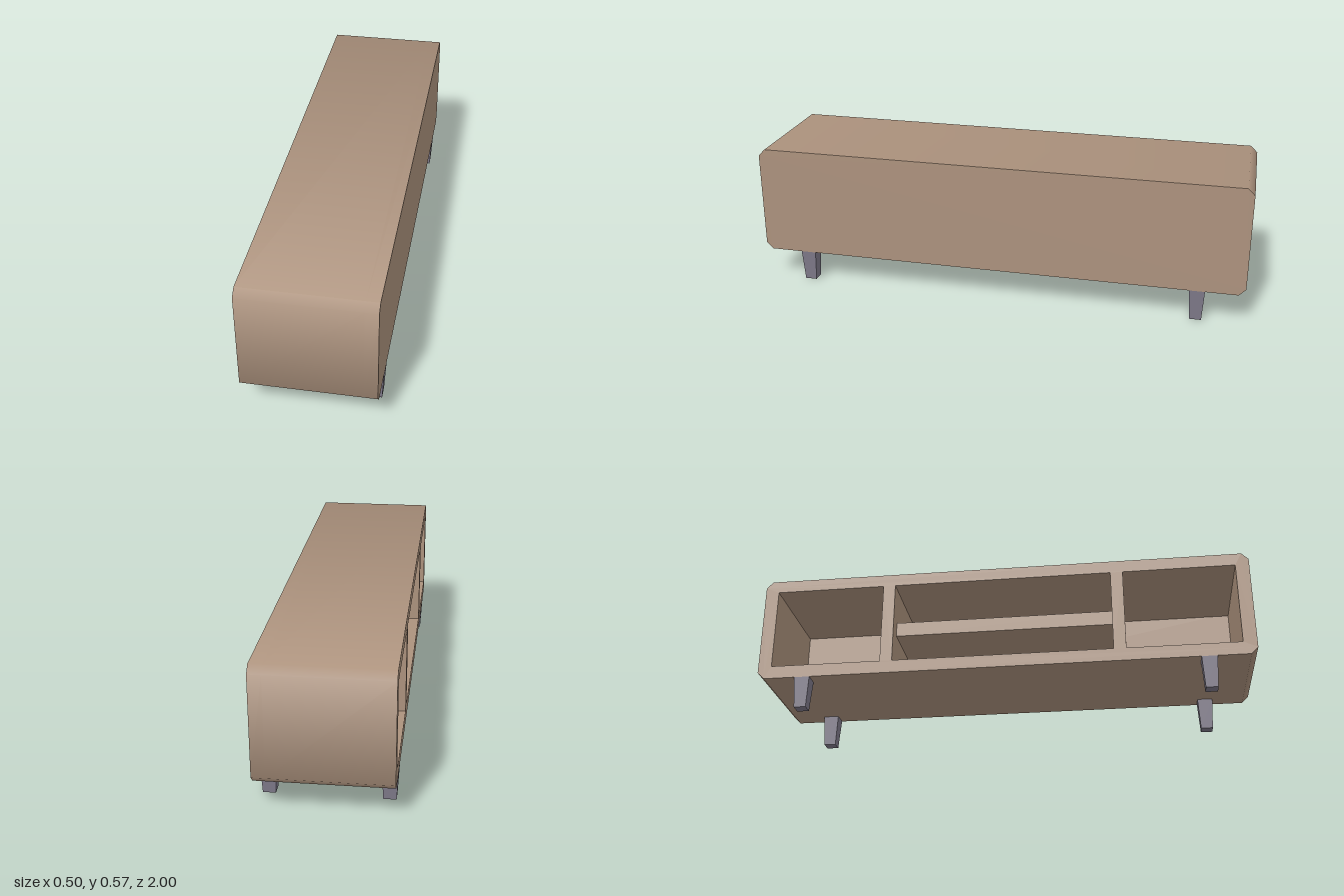
import * as THREE from 'three';

const wood = new THREE.MeshStandardMaterial({ color: 0xac927d });
wood.name = 'warmWood';
const grey = new THREE.MeshStandardMaterial({ color: 0x7e7989 });
grey.name = 'greyLeg';

const BOTTOM = 0.128, TOP = 0.573, BEVEL = 0.027;
const FRONT = -0.25, INNER = 0.2, BACK = 0.25;
const HOLE_LOW = 0.181, HOLE_HIGH = 0.522;

function add(group, name, geometry, material) {
  const mesh = new THREE.Mesh(geometry, material);
  mesh.name = name;
  group.add(mesh);
  return mesh;
}

// Cabinet outline with clipped corners, optionally pierced by compartments
function outline(openings) {
  const b = BEVEL;
  const shape = new THREE.Shape([
    [-1 + b, BOTTOM], [1 - b, BOTTOM], [1, BOTTOM + b], [1, TOP - b],
    [1 - b, TOP], [-1 + b, TOP], [-1, TOP - b], [-1, BOTTOM + b],
  ].map(([u, v]) => new THREE.Vector2(u, v)));
  for (const [u0, u1] of openings) {
    shape.holes.push(new THREE.Path([
      [u0, HOLE_LOW], [u0, HOLE_HIGH], [u1, HOLE_HIGH], [u1, HOLE_LOW],
    ].map(([u, v]) => new THREE.Vector2(u, v))));
  }
  return shape;
}

// Extrude the outline across x, with the outer skin shaded smoothly round its corners
function cabinetSlab(openings, x0, x1) {
  const geometry = new THREE.ExtrudeGeometry(outline(openings), { depth: x1 - x0, bevelEnabled: false });
  const { position, normal } = geometry.attributes;
  const mid = (BOTTOM + TOP) / 2;
  for (let i = 0; i < position.count; i++) {
    const u = position.getX(i);
    if (Math.abs(normal.getZ(i)) > 0.5 || Math.abs(u) < 0.96) continue;
    const angle = (Math.abs(u) > 0.99 ? 1 : 3) * Math.PI / 8;
    normal.setXYZ(i, Math.sign(u) * Math.cos(angle), Math.sign(position.getY(i) - mid) * Math.sin(angle), 0);
  }
  geometry.rotateY(Math.PI / 2);
  geometry.translate(x0, 0, 0);
  return geometry;
}

export function createModel() {
  const model = new THREE.Group();
  model.name = 'mediaCabinet';

  // Body: open frame with three compartments, closed by a plain panel
  const compartments = [[-0.945, -0.495], [-0.445, 0.445], [0.495, 0.945]];
  add(model, 'cabinetFrame', cabinetSlab(compartments, FRONT, INNER), wood);
  add(model, 'backPanel', cabinetSlab([], INNER, BACK), wood);

  // Recessed shelf in the middle compartment
  const shelf = add(model, 'middleShelf', new THREE.BoxGeometry(INNER + 0.19, 0.06, 0.89), wood);
  shelf.position.set((INNER - 0.19) / 2, 0.347, 0);

  // Four square tapered legs
  const legShape = new THREE.CylinderGeometry(0.031 * Math.SQRT2, 0.024 * Math.SQRT2, BOTTOM, 4)
    .rotateY(Math.PI / 4).toNonIndexed();
  legShape.computeVertexNormals();
  for (const x of [-1, 1]) {
    for (const z of [-1, 1]) {
      const name = (z > 0 ? 'front' : 'back') + (x > 0 ? 'Left' : 'Right') + 'Leg';
      add(model, name, legShape, grey).position.set(x * 0.219, BOTTOM / 2, z * 0.813);
    }
  }
  return model;
}
